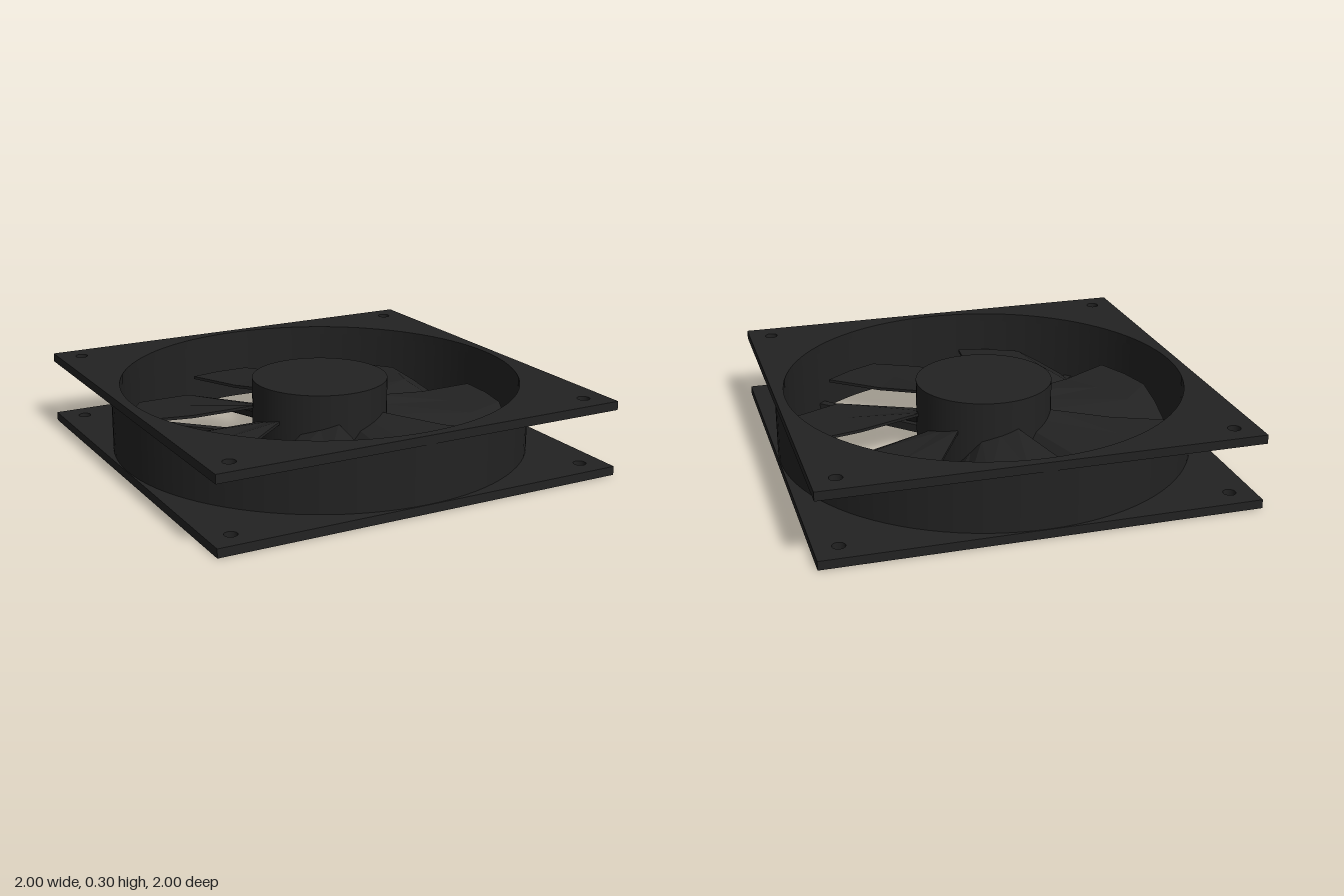
import * as THREE from 'three';

const RAD = Math.PI / 180;
const black = new THREE.MeshStandardMaterial({ color: 0x222222 });
black.name = 'matte black plastic';

function add(parent, geometry, name, x = 0, y = 0, z = 0) {
  const mesh = new THREE.Mesh(geometry, black);
  mesh.name = name;
  mesh.position.set(x, y, z);
  parent.add(mesh);
  return mesh;
}

function circle(x, y, r) {
  return new THREE.Path().absarc(x, y, r, 0, Math.PI * 2, true);
}

// Extrude a flat outline upwards along y
function slab(shape, height, curveSegments) {
  return new THREE.ExtrudeGeometry(shape, { depth: height, bevelEnabled: false, curveSegments })
    .rotateX(-Math.PI / 2);
}

// Square flange with a round opening and four screw holes
function flangeGeometry() {
  const h = 0.843;
  const shape = new THREE.Shape([[-h, -h], [h, -h], [h, h], [-h, h]].map(p => new THREE.Vector2(...p)));
  shape.holes.push(circle(0, 0, 0.805));
  for (const x of [-0.75, 0.75]) for (const y of [-0.75, 0.75]) shape.holes.push(circle(x, y, 0.025));
  return slab(shape, 0.035, 48);
}

// Creased blade: ribs of [angle, radius, height] from root to tip
function bladeGeometry() {
  const lead = [[75.5, 0.265, 0.18], [72.5, 0.52, 0.15], [71.2, 0.777, 0.14]];
  const crease = [[107, 0.265, 0.14], [103.6, 0.62, 0.14], [91.5, 0.777, 0.135]];
  const trail = [[126.5, 0.265, 0.04], [120, 0.66, 0.05], [106.6, 0.777, 0.05]];
  const mid = (a, b) => a.map((p, j) => p.map((v, k) => (v + b[j][k]) / 2));
  const ribs = [lead, mid(lead, crease), crease, mid(crease, trail), trail];
  const point = (i, j, drop) => {
    const [a, r, y] = ribs[i][j];
    return [r * Math.cos(a * RAD), y - drop, r * Math.sin(a * RAD)];
  };
  const t = 0.012, out = [];
  const quad = (a, b, c, d) => out.push(...a, ...b, ...c, ...a, ...c, ...d);

  for (let i = 0; i < 4; i++) for (let j = 0; j < 2; j++) {
    const corners = [[i, j], [i + 1, j], [i + 1, j + 1], [i, j + 1]];
    quad(...corners.map(c => point(...c, 0)));
    quad(...corners.reverse().map(c => point(...c, t)));
  }
  // Thin edge all round
  const rim = [[0, 0], [1, 0], [2, 0], [3, 0], [4, 0], [4, 1], [4, 2], [3, 2], [2, 2], [1, 2], [0, 2], [0, 1]];
  rim.forEach((p, k) => {
    const q = rim[(k + 1) % rim.length];
    quad(point(...p, 0), point(...p, t), point(...q, t), point(...q, 0));
  });
  const geometry = new THREE.BufferGeometry();
  geometry.setAttribute('position', new THREE.Float32BufferAttribute(out, 3));
  geometry.computeVertexNormals();
  return geometry;
}

export function createModel() {
  const model = new THREE.Group();
  model.name = 'coolingFan';

  // Housing: two flanges joined by a round duct
  const housing = new THREE.Group();
  housing.name = 'housing';
  housing.rotation.y = -12 * RAD;
  model.add(housing);
  const flange = flangeGeometry();
  add(housing, flange, 'bottomFlange');
  add(housing, flange, 'topFlange', 0, 0.265, 0);

  const wall = new THREE.LatheGeometry(
    [[0.84, 0.035], [0.84, 0.265]].map(p => new THREE.Vector2(...p)), 96);
  add(housing, wall, 'ductOuterWall');
  const inner = new THREE.LatheGeometry(
    [[0.805, 0.265], [0.805, 0.035]].map(p => new THREE.Vector2(...p)), 96);
  add(housing, inner, 'ductInnerWall');

  // Crossed struts under the hub
  for (const side of [-1, 1]) {
    const strut = add(housing, new THREE.BoxGeometry(1.62, 0.034, 0.035), 'supportStrut', 0, 0.018, 0);
    strut.rotation.y = side * 45 * RAD;
  }

  // Rotor: hub and seven blades
  const rotor = new THREE.Group();
  rotor.name = 'rotor';
  model.add(rotor);
  add(rotor, new THREE.CylinderGeometry(0.275, 0.275, 0.265, 64), 'hub', 0, 0.1675, 0);
  const blade = bladeGeometry();
  for (let i = 0; i < 7; i++) {
    add(rotor, blade, 'blade').rotation.y = -i * Math.PI * 2 / 7;
  }
  return model;
}
